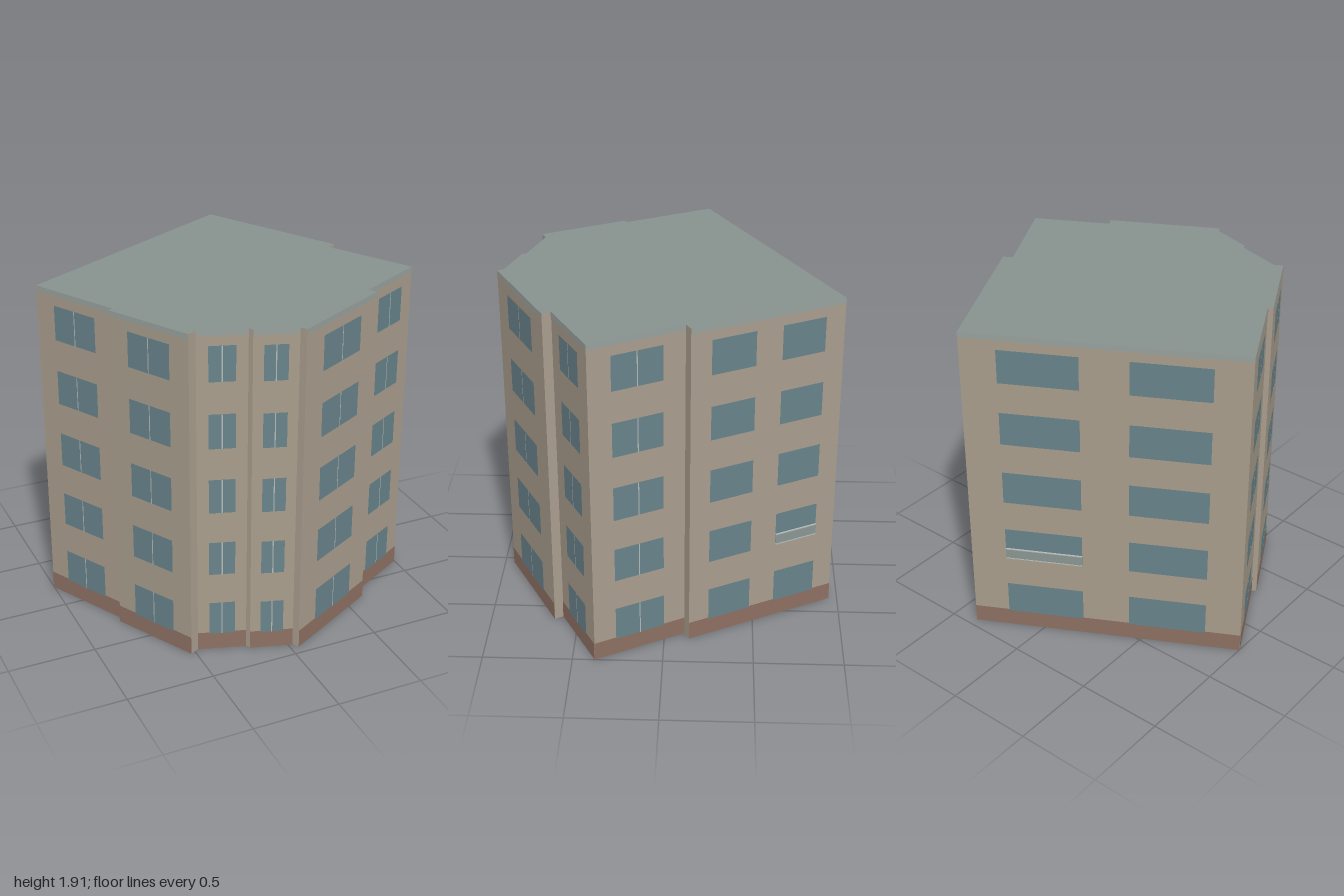
import * as THREE from 'three';

const HEIGHT = 1.915, PLINTH = 0.107, BAND = 0.03, FLOORS = 5, STOREY = 0.3825;
const SILL = 0.1, WINDOW_H = 0.2, SKIN = 0.002;

const paint = (color, side = THREE.FrontSide) => new THREE.MeshStandardMaterial({ color, side });

// Outline of the footprint as [x, z], walked left to right seen from outside.
// Each corner starts a wall: 1 = one divided window, 2 = two plain windows, 0 = bare return.
const outline = [
  [-1, -0.21, 1], [-0.745, 0.28, 0],
  [-0.77, 0.295, 1], [-0.525, 0.76, 0],
  [-0.475, 0.735, 1], [-0.218, 0.815, 0],
  [-0.205, 0.84, 1], [0.025, 0.91, 0],
  [0.045, 0.945, 1], [0.625, 0.635, 0],
  [0.6, 0.588, 1], [0.997, 0.375, 1],
  [0.735, -0.112, 0], [0.785, -0.14, 2],
  [0.36, -0.95, 2],
];
const windowSpans = { 0: [], 1: [[0.235, 0.765]], 2: [[0.13, 0.414], [0.586, 0.87]] };

export function createModel() {
  const model = new THREE.Group();
  model.name = 'apartmentBuilding';
  const wallMat = paint(0xa99d8d, THREE.DoubleSide);
  const roofMat = paint(0x87918d, THREE.DoubleSide);
  const bandMat = paint(0x98a29e);
  const plinthMat = paint(0x8e7062);
  const glassMat = paint(0x68838b);
  const frameMat = paint(0xb4bab6);
  const panelMat = paint(0x8a9794, THREE.DoubleSide);

  // Upright rectangle in a wall's own frame: x along the wall, z outward.
  const panel = (parent, name, x0, x1, y0, y1, z, mat) => {
    const mesh = new THREE.Mesh(new THREE.PlaneGeometry(x1 - x0, y1 - y0), mat);
    mesh.position.set((x0 + x1) / 2, (y0 + y1) / 2, z);
    mesh.name = name;
    parent.add(mesh);
  };

  // Shallow balcony guard: infill panel with a top and a bottom rail
  const addGuard = (wall, x0, x1) => {
    const guard = new THREE.Group();
    guard.name = 'balconyGuard';
    panel(guard, 'guardPanel', x0, x1, 0.487, 0.55, 0.01, panelMat);
    for (const y of [0.487, 0.55]) {
      const rail = new THREE.Mesh(new THREE.BoxGeometry(x1 - x0, 0.005, 0.012), frameMat);
      rail.position.set((x0 + x1) / 2, y, 0.007);
      rail.name = 'guardRail';
      guard.add(rail);
    }
    wall.add(guard);
  };

  outline.forEach(([x, z, kind], i) => {
    const [nx, nz] = outline[(i + 1) % outline.length];
    const length = Math.hypot(nx - x, nz - z);
    const wall = new THREE.Group();
    wall.name = kind ? 'facade' : 'wallReturn';
    wall.position.set(x, 0, z);
    wall.rotation.y = -Math.atan2(nz - z, nx - x);
    panel(wall, 'wall', 0, length, 0, HEIGHT, 0, wallMat);

    if (kind) {
      panel(wall, 'plinth', 0, length, 0, PLINTH, SKIN, plinthMat);
      panel(wall, 'roofBand', 0, length, HEIGHT - BAND, HEIGHT, SKIN, bandMat);
    }
    // Windows, storey by storey
    for (const [t0, t1] of windowSpans[kind]) {
      for (let f = 0; f < FLOORS; f++) {
        const y = SILL + f * STOREY;
        panel(wall, 'window', t0 * length, t1 * length, y, y + WINDOW_H, SKIN * 2, glassMat);
        if (kind === 1) {
          const mid = (t0 + t1) / 2 * length;
          panel(wall, 'mullion', mid - 0.003, mid + 0.003, y, y + WINDOW_H, SKIN * 3, frameMat);
        }
      }
    }
    // One guard on each two-window wall, both next to the rear corner
    if (kind === 2) {
      const [t0, t1] = windowSpans[2][i === outline.length - 1 ? 0 : 1];
      addGuard(wall, t0 * length, t1 * length);
    }
    model.add(wall);
  });

  // Flat roof over the open-bottomed shell
  const shape = new THREE.Shape(outline.map(([x, z]) => new THREE.Vector2(x, -z)));
  const roof = new THREE.Mesh(new THREE.ShapeGeometry(shape).rotateX(-Math.PI / 2), roofMat);
  roof.position.y = HEIGHT;
  roof.name = 'roof';
  model.add(roof);

  return model;
}
